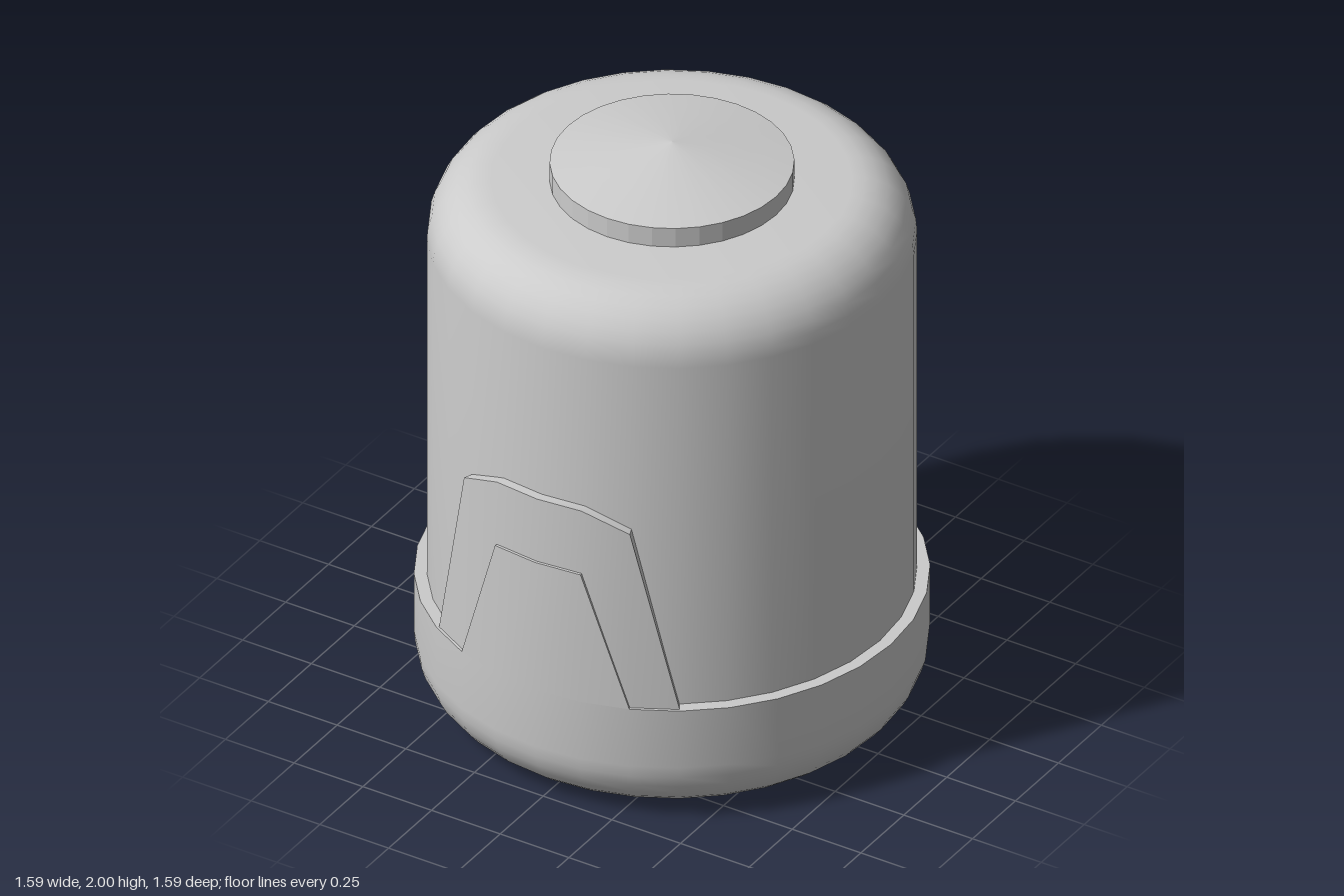
import * as THREE from 'three';
import { toCreasedNormals } from 'three/addons/utils/BufferGeometryUtils.js';

const SIDES = 32;
const STEP = (Math.PI * 2) / SIDES;
const material = new THREE.MeshStandardMaterial({ color: 0xcccccc });

function add(parent, name, geometry) {
  const mesh = new THREE.Mesh(geometry, material);
  mesh.name = name;
  parent.add(mesh);
  return mesh;
}

// Turned solid from [radius, height] pairs running bottom to top
function turned(points, crease) {
  const profile = points.map(([r, y]) => new THREE.Vector2(r, y));
  return toCreasedNormals(new THREE.LatheGeometry(profile, SIDES), crease);
}

// Quarter-round points about (cx, cy), between two angles
function fillet(cx, cy, radius, from, to, count = 8) {
  return Array.from({ length: count + 1 }, (_, i) => {
    const a = from + ((to - from) * i) / count;
    return [cx + radius * Math.cos(a), cy + radius * Math.sin(a)];
  });
}

// Curved plate wrapped on the cylinder: one top height per column,
// centred on +z, with a rim closing back to the inner radius
function plate(tops, bottom, outer, inner) {
  const pos = [];
  const half = (tops.length - 1) / 2;
  const at = (r, k, y) => {
    const a = (k - half) * STEP;
    return [r * Math.sin(a), y, r * Math.cos(a)];
  };
  const quad = (a, b, c, d) => pos.push(...a, ...b, ...c, ...a, ...c, ...d);
  for (let k = 0; k < tops.length - 1; k++) {
    const y0 = tops[k], y1 = tops[k + 1];
    quad(at(outer, k, bottom), at(outer, k + 1, bottom), at(outer, k + 1, y1), at(outer, k, y0));
    quad(at(outer, k, y0), at(outer, k + 1, y1), at(inner, k + 1, y1), at(inner, k, y0));
  }
  const g = new THREE.BufferGeometry();
  g.setAttribute('position', new THREE.Float32BufferAttribute(pos, 3));
  return toCreasedNormals(g, 0.6);
}

export function createModel() {
  const model = new THREE.Group();
  model.name = 'canister';
  const rimY = 0.42, bodyR = 0.757, cupR = 0.797;

  // Main drum with a rounded shoulder
  add(model, 'body', turned([
    [bodyR, rimY - 0.02],
    ...fillet(bodyR - 0.2, 1.66, 0.2, 0, Math.PI / 2),
    [0, 1.86],
  ], 0.6));

  // Rounded cup the drum sits in, with a flat rim
  add(model, 'baseCup', turned([
    [0, 0],
    ...fillet(cupR - 0.21, 0.21, 0.21, -Math.PI / 2, 0),
    [cupR, rimY],
    [bodyR - 0.01, rimY],
  ], 0.6));

  // Low conical button on top
  add(model, 'topCap', turned([[0.378, 1.85], [0.378, 1.928], [0, 2]], 0.19));

  // Stepped clasp on the front and the back
  for (const [name, turn] of [['frontClasp', 0], ['backClasp', Math.PI]]) {
    const clasp = new THREE.Group();
    clasp.name = name;
    clasp.rotation.y = turn;
    add(clasp, 'claspPlate',
      plate([rimY, 1.06, 1.12, 1.12, 1.12, 1.06, rimY], rimY, 0.788, bodyR - 0.01));
    add(clasp, 'claspTongue',
      plate([rimY, 0.89, 0.89, 0.89, rimY], rimY, cupR, 0.78));
    model.add(clasp);
  }
  return model;
}
